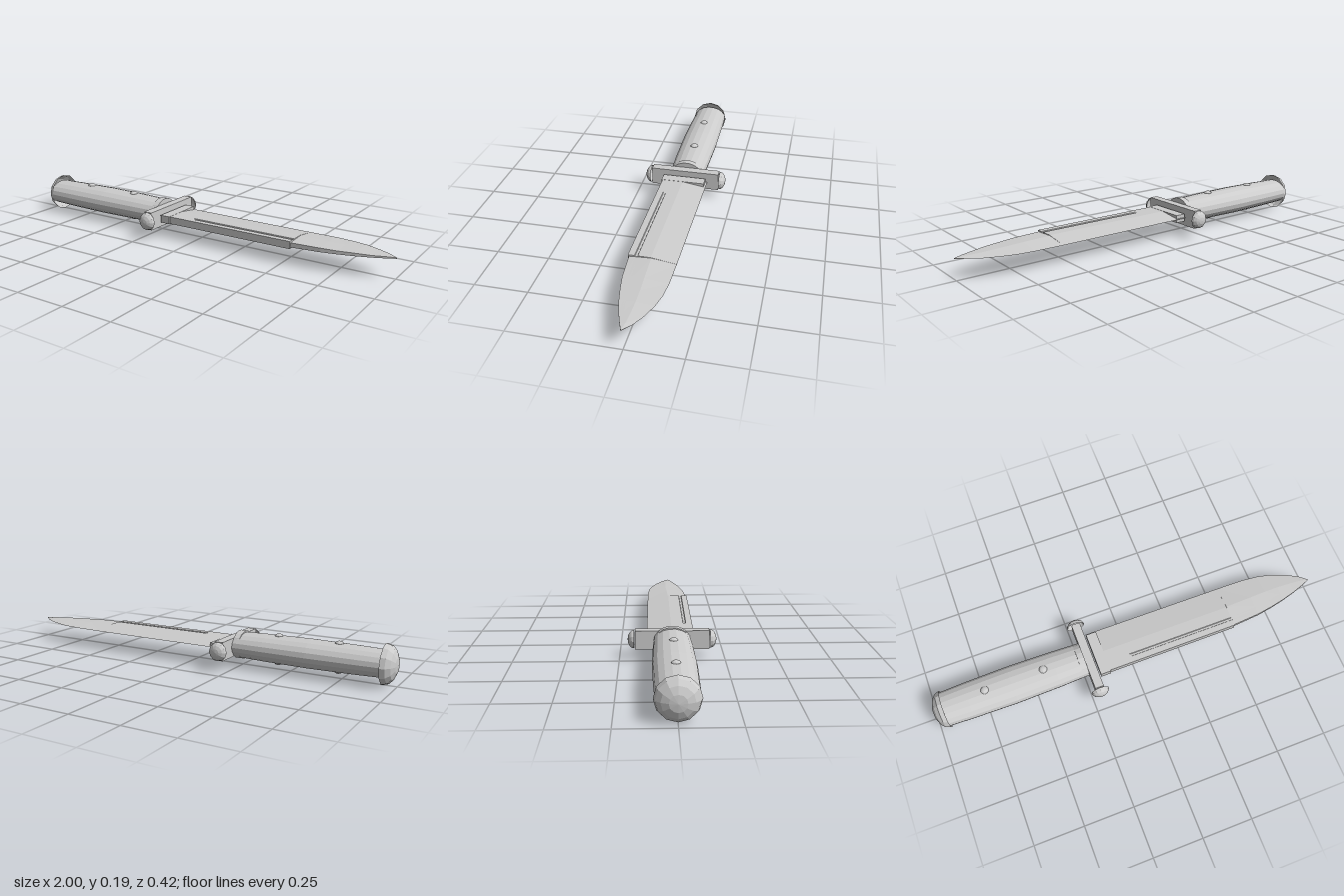
import * as THREE from 'three';

const CY = 0.096; // height of the long axis

export function createModel() {
  const root = new THREE.Group();
  const steel = new THREE.MeshStandardMaterial({ color: 0xcccccc, flatShading: true, side: THREE.DoubleSide });
  steel.name = 'grey steel';

  const add = (name, geometry, x, y, z) => {
    const mesh = new THREE.Mesh(geometry, steel);
    mesh.name = name;
    mesh.position.set(x, y, z);
    root.add(mesh);
    return mesh;
  };
  // Open half dome bulging toward +y
  const dome = (radius, height, sides) =>
    new THREE.SphereGeometry(1, sides, 4, 0, Math.PI * 2, 0, Math.PI / 2).scale(radius, height, radius);

  // Pommel: hollow cap at the end of the grip
  add('pommel', dome(0.095, 0.06, 12).rotateZ(Math.PI / 2), -0.94, CY, 0);

  // Grip: oval, slightly swollen in the middle
  const gripProfile = [[0, -0.955], [0.088, -0.955], [0.093, -0.82], [0.097, -0.6], [0.093, -0.38], [0.087, -0.23], [0, -0.23]];
  const grip = new THREE.LatheGeometry(gripProfile.map(([r, x]) => new THREE.Vector2(r, x)), 18);
  grip.rotateZ(-Math.PI / 2).scale(1, 0.7, 1);
  add('grip', grip, 0, CY + 0.002, 0);
  const collar = new THREE.CylinderGeometry(1, 1, 0.032, 18).rotateZ(Math.PI / 2).scale(1, 0.068, 0.082);
  add('collar', collar, -0.245, CY + 0.003, 0);

  // Rivets on both faces of the grip
  for (const x of [-0.73, -0.435]) {
    for (const s of [1, -1]) {
      const rivet = add('rivet', dome(0.021, 0.014, 10), x, CY + 0.002 + s * 0.062, 0);
      if (s < 0) rivet.rotation.x = Math.PI;
    }
  }

  // Cross guard with domed ends
  add('guard', new THREE.BoxGeometry(0.043, 0.09, 0.35), -0.208, CY, 0);
  for (const s of [1, -1]) {
    add('guardEnd', dome(0.045, 0.031, 12).rotateX(s * Math.PI / 2), -0.208, CY, s * 0.179);
  }

  // Ricasso: full-thickness block at the root of the blade
  add('ricasso', new THREE.BoxGeometry(0.052, 0.038, 0.22), -0.151, CY, 0);

  add('blade', bladeGeometry(), 0, CY, 0);
  return root;
}

// Blade lofted along x; spine at +z, cutting edge at -z
function bladeGeometry() {
  // x, spine z, edge z, spine half thickness, middle half thickness, groove depth, height shift
  const stations = [
    [-0.177, 0.105, -0.12, 0.018, 0.018, 0, 0],
    [-0.01, 0.105, -0.119, 0.018, 0.018, 0, 0],
    [0, 0.105, -0.119, 0.018, 0.018, 0.004, 0],
    [0.54, 0.105, -0.116, 0.018, 0.018, 0.004, 0],
    [0.541, 0.1, -0.116, 0.011, 0.0165, 0, 0],
    [0.68, 0.09, -0.114, 0.0095, 0.014, 0, 0.001],
    [0.76, 0.077, -0.106, 0.008, 0.012, 0, 0.001],
    [0.83, 0.062, -0.09, 0.007, 0.0095, 0, 0.002],
    [0.9, 0.043, -0.063, 0.005, 0.007, 0, 0.002],
    [0.96, 0.022, -0.03, 0.004, 0.005, 0, 0.003],
    [1, 0.006, 0.004, 0.002, 0.002, 0, 0.003],
  ];
  const rings = stations.map(([x, zs, ze, hs, hm, groove, dy]) => {
    const zm = ze + (zs - ze) * 0.53;
    const half = [[zs, hs]];
    for (const [t, d] of [[0.29, 0], [0.31, groove], [0.41, groove], [0.43, 0], [1, 0]]) {
      half.push([zs + (zm - zs) * t, hs + (hm - hs) * t - d]);
    }
    const lower = half.map(([z, h]) => [x, dy - h, z]).reverse();
    return [...half.map(([z, h]) => [x, dy + h, z]), [x, dy, ze], ...lower];
  });

  const n = rings[0].length;
  const pos = [];
  const tri = (a, b, c) => pos.push(...a, ...b, ...c);
  for (let i = 0; i < rings.length - 1; i++) {
    for (let j = 0; j < n; j++) {
      const k = (j + 1) % n;
      const [a, b, c, d] = [rings[i][j], rings[i][k], rings[i + 1][k], rings[i + 1][j]];
      tri(a, d, b);
      tri(b, d, c);
    }
  }
  // End caps
  const last = rings[rings.length - 1];
  for (let j = 1; j < n - 1; j++) {
    tri(rings[0][0], rings[0][j], rings[0][j + 1]);
    tri(last[0], last[j + 1], last[j]);
  }
  const geometry = new THREE.BufferGeometry();
  geometry.setAttribute('position', new THREE.Float32BufferAttribute(pos, 3));
  geometry.computeVertexNormals();
  return geometry;
}
